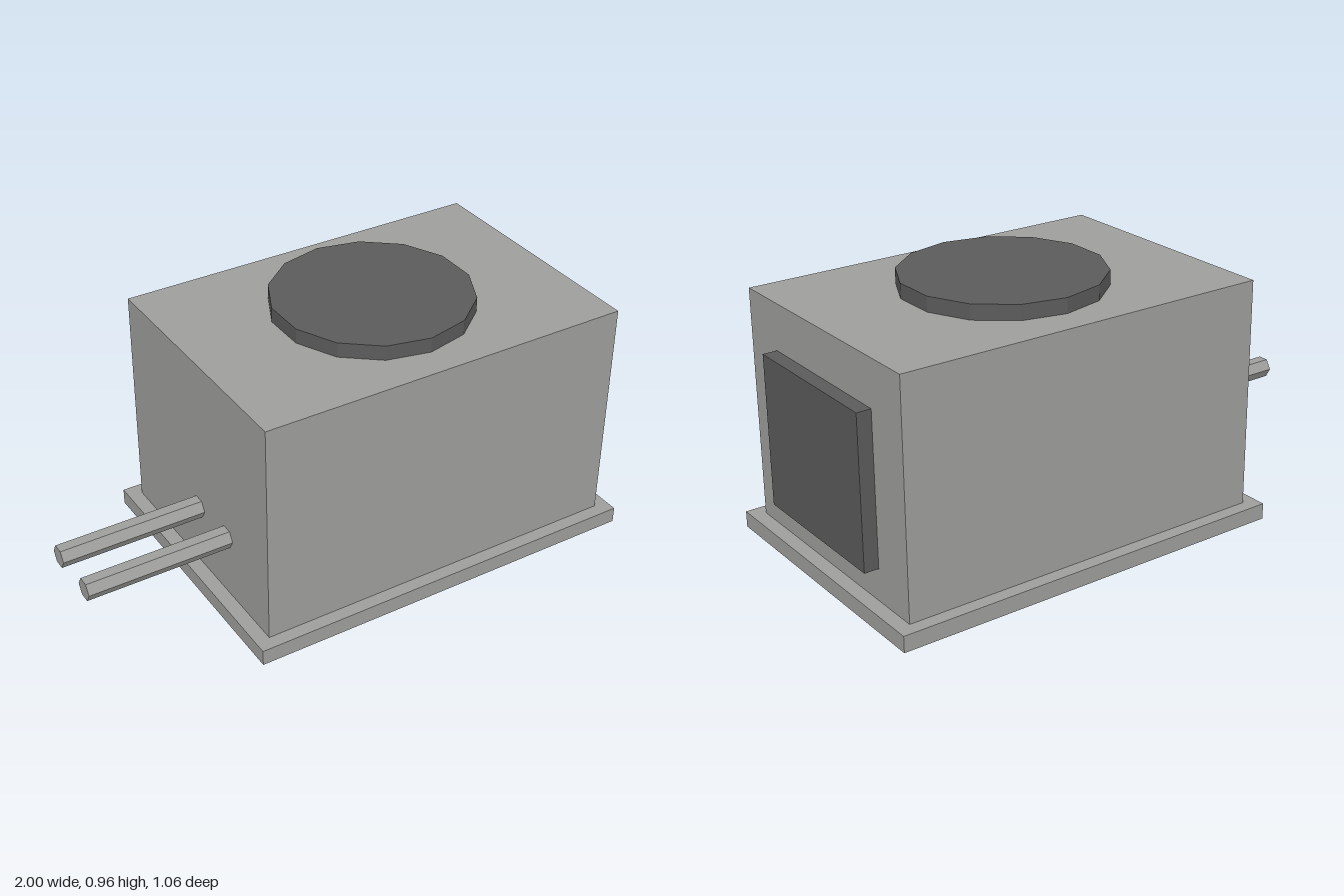
import * as THREE from 'three';

export function createModel() {
  const group = new THREE.Group();
  const lightGrey = new THREE.MeshStandardMaterial({ color: 0x9e9e9c, flatShading: true });
  lightGrey.name = 'lightGrey';
  const darkGrey = new THREE.MeshStandardMaterial({ color: 0x5b5b5b, flatShading: true });
  darkGrey.name = 'darkGrey';

  const add = (name, geometry, material, x, y, z) => {
    const mesh = new THREE.Mesh(geometry, material);
    mesh.name = name;
    mesh.position.set(x, y, z);
    group.add(mesh);
    return mesh;
  };

  // Base plate and main housing
  add('basePlate', new THREE.BoxGeometry(1.517, 0.06, 1.06), lightGrey, 0.2415, 0.03, 0);
  add('housing', new THREE.BoxGeometry(1.411, 0.846, 0.96), lightGrey, 0.2415, 0.483, 0);

  // Round lid on top, fourteen sides
  add('topLid', new THREE.CylinderGeometry(0.364, 0.364, 0.055, 14), darkGrey, 0.2415, 0.9335, 0);

  // Square panel on the side
  add('sidePanel', new THREE.BoxGeometry(0.054, 0.555, 0.607), darkGrey, 0.973, 0.457, 0);

  // Two hexagonal pipes on the opposite side
  for (const z of [0, 0.2]) {
    const pipe = add('pipe', new THREE.CylinderGeometry(0.04, 0.04, 0.54, 6), lightGrey, -0.73, 0.305, z);
    pipe.rotation.z = Math.PI / 2;
  }
  return group;
}
